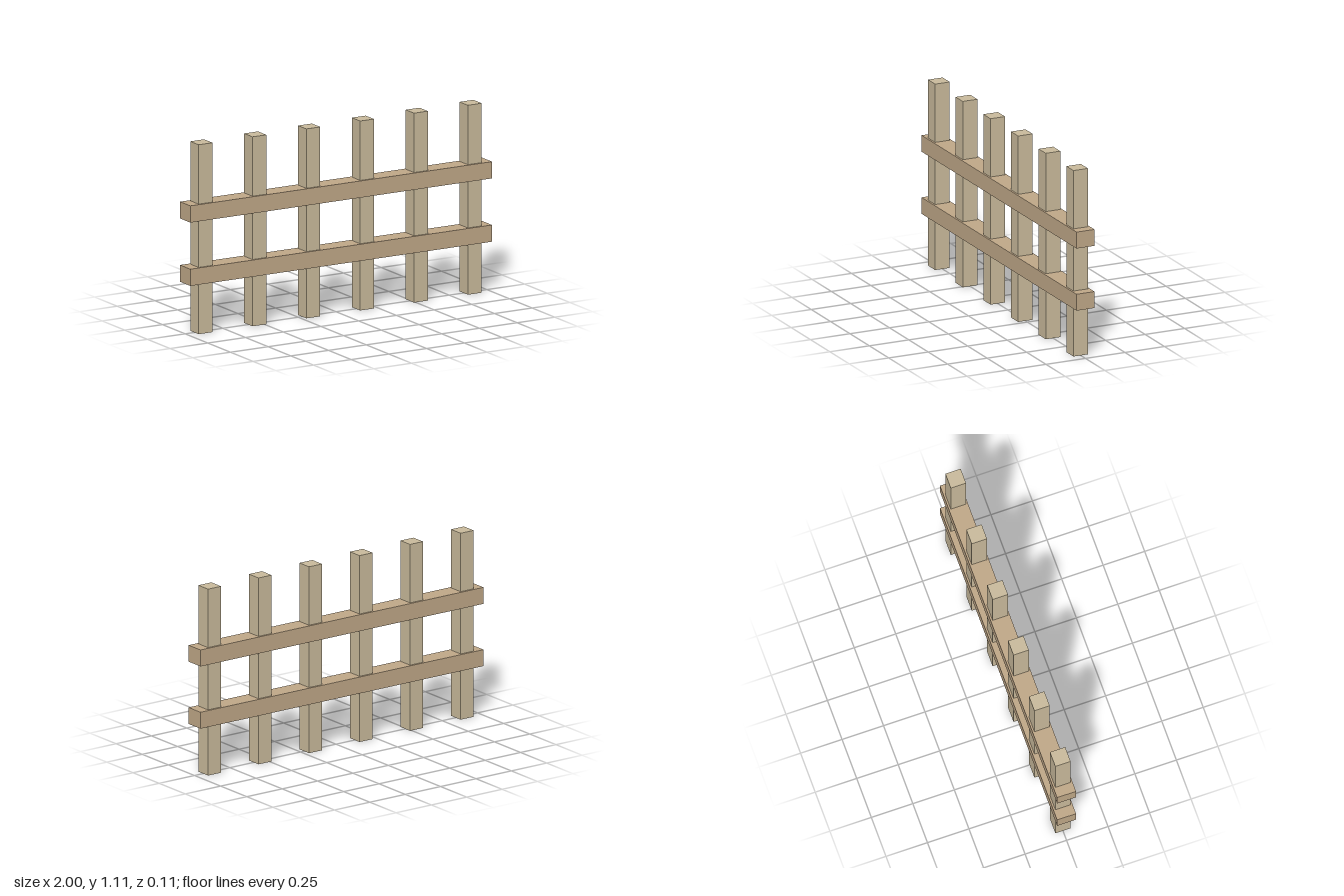
import * as THREE from 'three';

export function createModel() {
  const fence = new THREE.Group();
  fence.name = 'fence';
  const postMaterial = new THREE.MeshStandardMaterial({ color: 0xcabb9c });
  const railMaterial = new THREE.MeshStandardMaterial({ color: 0xc0a888 });

  // Six evenly spaced square posts
  const height = 1.11, postCount = 6, spacing = 0.357;
  const postGeometry = new THREE.BoxGeometry(0.092, height, 0.092);
  for (let i = 0; i < postCount; i++) {
    const post = new THREE.Mesh(postGeometry, postMaterial);
    post.name = `post${i + 1}`;
    post.position.set((i - (postCount - 1) / 2) * spacing, height / 2, 0);
    fence.add(post);
  }

  // Two thicker horizontal rails enclosing the posts
  const railGeometry = new THREE.BoxGeometry(2, 0.098, 0.114);
  for (const [name, y] of [['lowerRail', 0.342], ['upperRail', 0.713]]) {
    const rail = new THREE.Mesh(railGeometry, railMaterial);
    rail.name = name;
    rail.position.y = y;
    fence.add(rail);
  }
  return fence;
}
